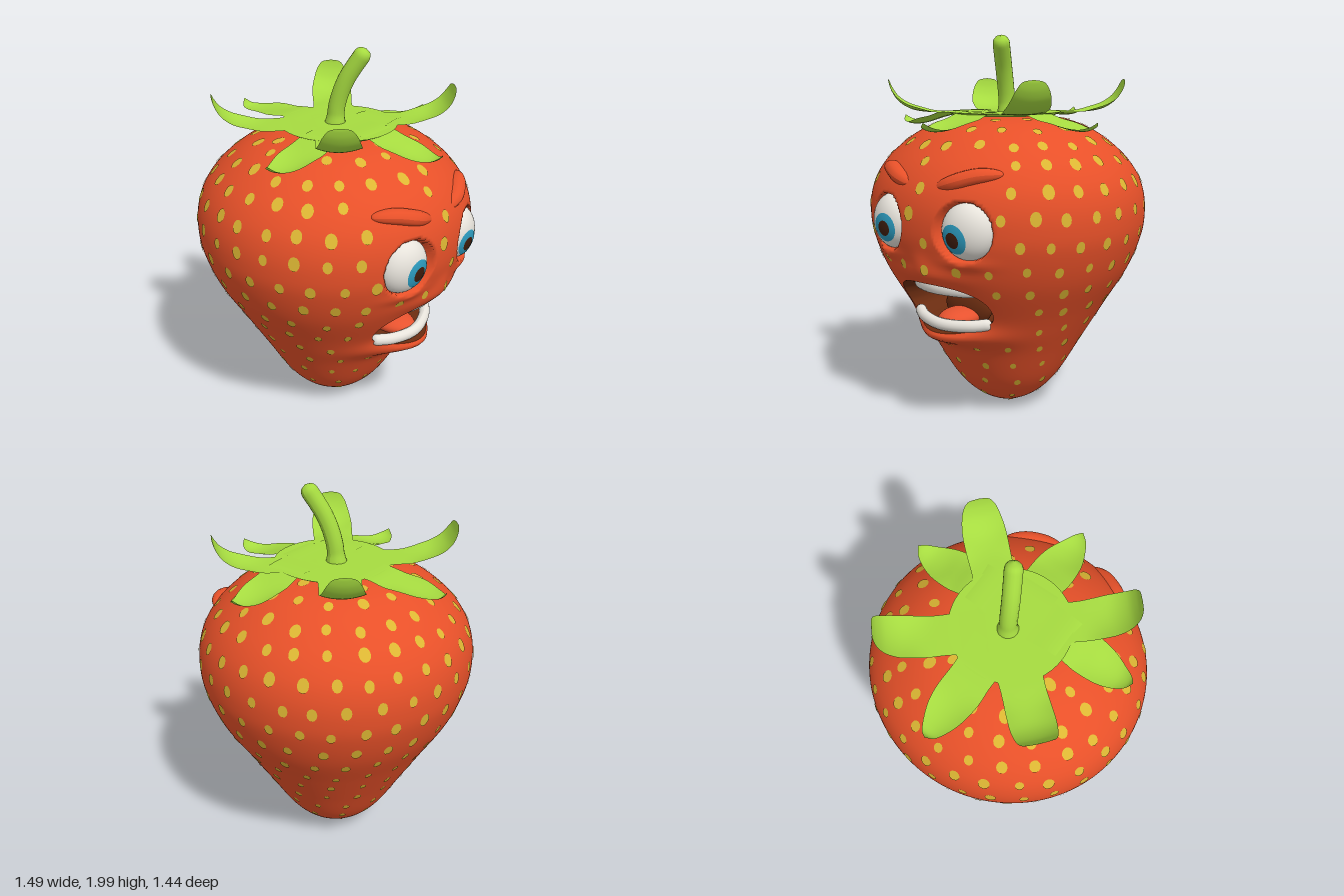
import * as THREE from 'three';
import { mergeGeometries } from 'three/addons/utils/BufferGeometryUtils.js';

const mat = (name, color, side = THREE.FrontSide) => {
  const m = new THREE.MeshStandardMaterial({ color, side });
  m.name = name;
  return m;
};
const { smoothstep } = THREE.MathUtils;

// Fruit outline: radius, height
const profile = new THREE.SplineCurve([
  [0, 0.006], [0.09, 0.025], [0.2, 0.09], [0.3, 0.2], [0.42, 0.4], [0.54, 0.6], [0.66, 0.8], [0.725, 0.97],
  [0.741, 1.09], [0.73, 1.2], [0.69, 1.3], [0.61, 1.4], [0.48, 1.5], [0.34, 1.56], [0.18, 1.585], [0, 1.59],
].map(p => new THREE.Vector2(...p)));
const samples = profile.getPoints(400);
function radiusAt(y) {
  const k = Math.max(1, samples.findIndex(p => p.y >= y));
  const a = samples[k - 1], b = samples[k];
  return THREE.MathUtils.lerp(a.x, b.x, (y - a.y) / (b.y - a.y || 1));
}

// Face layout
const EYE = { x: 0.243, y: 1.08, z: 0.61 };
const mouthDistance = (x, y) => Math.pow(Math.abs(x / 0.28) ** 2.4 + Math.abs((y - 0.665) / 0.132) ** 2.4, 1 / 2.4);
const eyeDistance = (x, y) => Math.hypot((Math.abs(x) - EYE.x) / 0.135, (y - EYE.y) / 0.138);
// Soft swellings: x, y, width, height, amount (lower lip, upper lip, lower lids, nose)
const bumps = [[0, 0.505, 0.22, 0.06, 0.125], [0, 0.84, 0.2, 0.05, 0.025],
  [0.25, 0.925, 0.1, 0.03, 0.02], [-0.25, 0.925, 0.1, 0.03, 0.02], [0, 0.9, 0.06, 0.05, 0.012]];

// Point of the skin at an angle from the front and a height
function skinPoint(angle, y, r = radiusAt(y)) {
  let x = r * Math.sin(angle), z = 0.97 * r * Math.cos(angle), f = 9;
  if (z > 0.15) {
    f = mouthDistance(x, y);
    if (Math.abs(f - 1) < 0.065) { // snap to a clean lip line
      x /= f;
      y = 0.665 + (y - 0.665) / f;
      z = 0.97 * Math.sqrt(radiusAt(y) ** 2 - x * x);
      f = 1;
    }
    for (const [bx, by, w, h, amount] of bumps) z += amount * Math.exp(-(((x - bx) / w) ** 2) - ((y - by) / h) ** 2);
    z -= 0.07 * (1 - smoothstep(eyeDistance(x, y), 0.9, 1.05));
    z -= 0.26 * (1 - smoothstep(f, 0.8, 0.995));
  }
  return { p: new THREE.Vector3(x, y, z), f };
}

// Skin and mouth cavity share one grid, finer toward the face
function buildBody() {
  const n = 240, rows = 150, pos = [], dist = [], skin = [], cavity = [];
  for (let j = 0; j <= rows; j++) {
    const q = profile.getPointAt(j / rows);
    for (let i = 0; i < n; i++) {
      const u = (i / n) * Math.PI * 2;
      const { p, f } = skinPoint(u - 0.5 * Math.sin(u), q.y, Math.max(q.x, 0));
      pos.push(p.x, p.y, p.z);
      dist.push(f);
    }
  }
  for (let j = 0; j < rows; j++) for (let i = 0; i < n; i++) {
    const a = j * n + i, b = j * n + (i + 1) % n, c = b + n, d = a + n;
    const inside = (dist[a] + dist[b] + dist[c] + dist[d]) / 4 < 0.999;
    (inside ? cavity : skin).push(a, b, c, a, c, d);
  }
  return [skin, cavity].map(index => {
    const g = new THREE.BufferGeometry();
    g.setAttribute('position', new THREE.Float32BufferAttribute(pos, 3));
    g.setIndex(index);
    g.computeVertexNormals();
    return g;
  });
}

// Tube along points whose radius follows a rule; flat stretches it vertically
function taperedTube(points, radius, flat = 1) {
  const n = 40, m = 16;
  const curve = new THREE.CatmullRomCurve3(points.map(p => new THREE.Vector3(...p)));
  const g = new THREE.TubeGeometry(curve, n, 1, m);
  const pos = g.attributes.position, v = new THREE.Vector3();
  for (let k = 0; k < pos.count; k++) {
    const t = Math.floor(k / (m + 1)) / n, c = curve.getPointAt(t);
    v.fromBufferAttribute(pos, k).sub(c).multiplyScalar(radius(t));
    v.y *= flat;
    v.add(c);
    pos.setXYZ(k, v.x, v.y, v.z);
  }
  g.computeVertexNormals();
  return g;
}
const roundEnds = (r, e) => t => r * Math.sqrt(Math.max(0, 1 - Math.max(0, (e - Math.min(t, 1 - t)) / e) ** 2));

// Thin oval seeds in staggered rows, leaving the face clear
function buildSeeds() {
  let s = 7;
  const rand = () => (s = (s * 16807) % 2147483647) / 2147483647 - 0.5;
  const parts = [], rows = 18;
  for (let j = 1; j < rows - 1; j++) {
    const q = profile.getPointAt((j - 0.2) / rows);
    const count = Math.max(4, Math.round((Math.PI * 2 * q.x) / 0.16));
    for (let i = 0; i < count; i++) {
      const a = Math.PI / 2 + ((i + (j % 2) / 2 + rand() * 0.15) / count) * Math.PI * 2, y = q.y + rand() * 0.02;
      const { p, f } = skinPoint(a, y);
      const onBrow = Math.abs(p.x) < 0.4 && Math.abs(p.x) > 0.05 && y > 1.22 && y < 1.4;
      if (p.z > 0.15 && (f < 1.35 || eyeDistance(p.x, y) < 1.25 || onBrow)) continue;
      const side = skinPoint(a + 0.02, y).p.sub(p), up = skinPoint(a, y + 0.01).p.sub(p);
      const normal = side.clone().cross(up).normalize();
      side.normalize();
      up.crossVectors(normal, side);
      const size = (0.019 + 0.01 * smoothstep(y, 0.2, 1.3)) * (1 + rand() * 0.3);
      const g = new THREE.CircleGeometry(size, 12).scale(0.9, 1.15, 1);
      g.applyMatrix4(new THREE.Matrix4().makeBasis(side, up, normal).setPosition(p.addScaledVector(normal, 0.003)));
      parts.push(g);
    }
  }
  return mergeGeometries(parts);
}

// Leaf sheet: outline gives [distance, height, half width]
function leafGeometry(outline) {
  const curve = new THREE.CatmullRomCurve3(outline.map(p => new THREE.Vector3(...p)));
  const g = new THREE.PlaneGeometry(1, 1, 10, 32), pos = g.attributes.position;
  for (let k = 0; k < pos.count; k++) {
    const v = pos.getX(k) * 2, c = curve.getPoint(pos.getY(k) + 0.5);
    pos.setXYZ(k, v * c.z, c.y + 0.2 * c.z * v * v * smoothstep(c.x, 0.33, 0.5), -c.x);
  }
  g.computeVertexNormals();
  return g;
}
// Leaf that droops and flicks up at the tip
const droopingLeaf = drop => leafGeometry([[0.1, 1.609, 0.12], [0.28, 1.606, 0.105], [0.4, 1.605 - drop * 0.55, 0.108],
  [0.5, 1.605 - drop, 0.095], [0.58, 1.605 - drop * 1.1, 0.065], [0.63, 1.605 - drop * 0.85, 0.035], [0.655, 1.645 - drop, 0]]);

export function createModel() {
  const model = new THREE.Group();
  const red = mat('strawberry red', 0xe95129), brown = mat('mouth brown', 0x6a2c10);
  const yellow = mat('seed yellow', 0xdcb633), green = mat('leaf green', 0xa6db40, THREE.DoubleSide);
  const white = mat('eye white', 0xeae6de), blue = mat('iris blue', 0x2c9cc0);
  const dark = mat('pupil brown', 0x3f1d0d), coral = mat('tongue coral', 0xe8532f);
  const add = (name, geometry, material, parent = model) => {
    const mesh = new THREE.Mesh(geometry, material);
    mesh.name = name;
    parent.add(mesh);
    return mesh;
  };

  const [skin, cavity] = buildBody();
  add('body', skin, red);
  add('mouthCavity', cavity, brown);
  add('seeds', buildSeeds(), yellow);

  // Eyes with iris and pupil caps, both glancing inward and down
  for (const [name, sx, ix, iy] of [['left', 1, -0.29, -0.28], ['right', -1, 0.16, -0.2]]) {
    const eye = new THREE.Group();
    eye.name = name + 'Eye';
    eye.position.set(sx * EYE.x, EYE.y, EYE.z);
    eye.rotation.y = sx * 0.26;
    model.add(eye);
    const gaze = new THREE.Vector3(ix - sx * 0.14, iy, 1).normalize();
    const turn = new THREE.Quaternion().setFromUnitVectors(new THREE.Vector3(0, 1, 0), gaze);
    const cap = (r, angle) => new THREE.SphereGeometry(r, 40, 24, 0, Math.PI * 2, 0, angle)
      .applyQuaternion(turn).scale(0.138, 0.14, 0.095);
    add(name + 'Eyeball', cap(1, Math.PI), white, eye);
    add(name + 'Iris', cap(1.012, 0.55), blue, eye);
    add(name + 'Pupil', cap(1.024, 0.28), dark, eye);
    // Brow ridge
    add(name + 'Brow', taperedTube([[0.06, 1.268, 0.645], [0.17, 1.305, 0.63], [0.27, 1.335, 0.58], [0.375, 1.345, 0.51]]
      .map(([x, y, z]) => [x * sx, y, z]), roundEnds(0.047, 0.45), 0.85), red);
  }

  // Teeth and tongue
  const arch = (y, w, z, lift) => [-1, -0.6, 0, 0.6, 1].map(k => [k * w, y + lift * k * k, z - 0.1 * k * k]);
  add('upperTeeth', taperedTube(arch(0.768, 0.215, 0.58, -0.012), roundEnds(0.028, 0.16), 1.35), white);
  add('lowerTeeth', taperedTube(arch(0.565, 0.245, 0.54, 0.02), roundEnds(0.029, 0.06), 1.05), white);
  add('tongue', new THREE.SphereGeometry(1, 32, 20).scale(0.1, 0.05, 0.13).translate(0, 0.573, 0.4), coral);
  add('throat', new THREE.SphereGeometry(1, 32, 20).scale(0.15, 0.1, 0.05).translate(0, 0.615, 0.33), brown);

  // Leafy crown: drooping leaves on the axes, curled ones between
  const crown = new THREE.Group();
  crown.name = 'crown';
  model.add(crown);
  add('crownDisc', new THREE.CylinderGeometry(0.3, 0.27, 0.016, 48).translate(0, 1.599, 0.025), green, crown);
  const lowLeaf = droopingLeaf(0.07), backLeaf = droopingLeaf(0.035);
  const curledLeaf = leafGeometry([[0.1, 1.609, 0.12], [0.3, 1.606, 0.105], [0.42, 1.605, 0.108], [0.51, 1.622, 0.108],
    [0.575, 1.665, 0.096], [0.607, 1.715, 0.078], [0.62, 1.755, 0.05], [0.622, 1.775, 0]]);
  for (let i = 0; i < 8; i++) {
    const leaf = add('leaf', i % 2 ? curledLeaf : i ? lowLeaf : backLeaf, green, crown);
    leaf.rotation.y = (i * Math.PI) / 4 + [0, 0.06, 0, -0.06][i % 4];
    if (i === 2 || i === 6) {
      leaf.position.z = 0.12;
      leaf.scale.z = 0.965;
    }
  }

  // Stem with a rounded tip
  const stemRadius = t => 0.044 * (1 + 0.25 * (1 - smoothstep(t, 0, 0.15)))
    * Math.sqrt(Math.max(0, 1 - Math.max(0, (t - 0.9) / 0.1) ** 2));
  add('stem', taperedTube([[0, 1.59, 0], [0.003, 1.7, 0.012], [0.02, 1.83, 0.055], [0.067, 1.99, 0.145]], stemRadius), green);
  return model;
}
